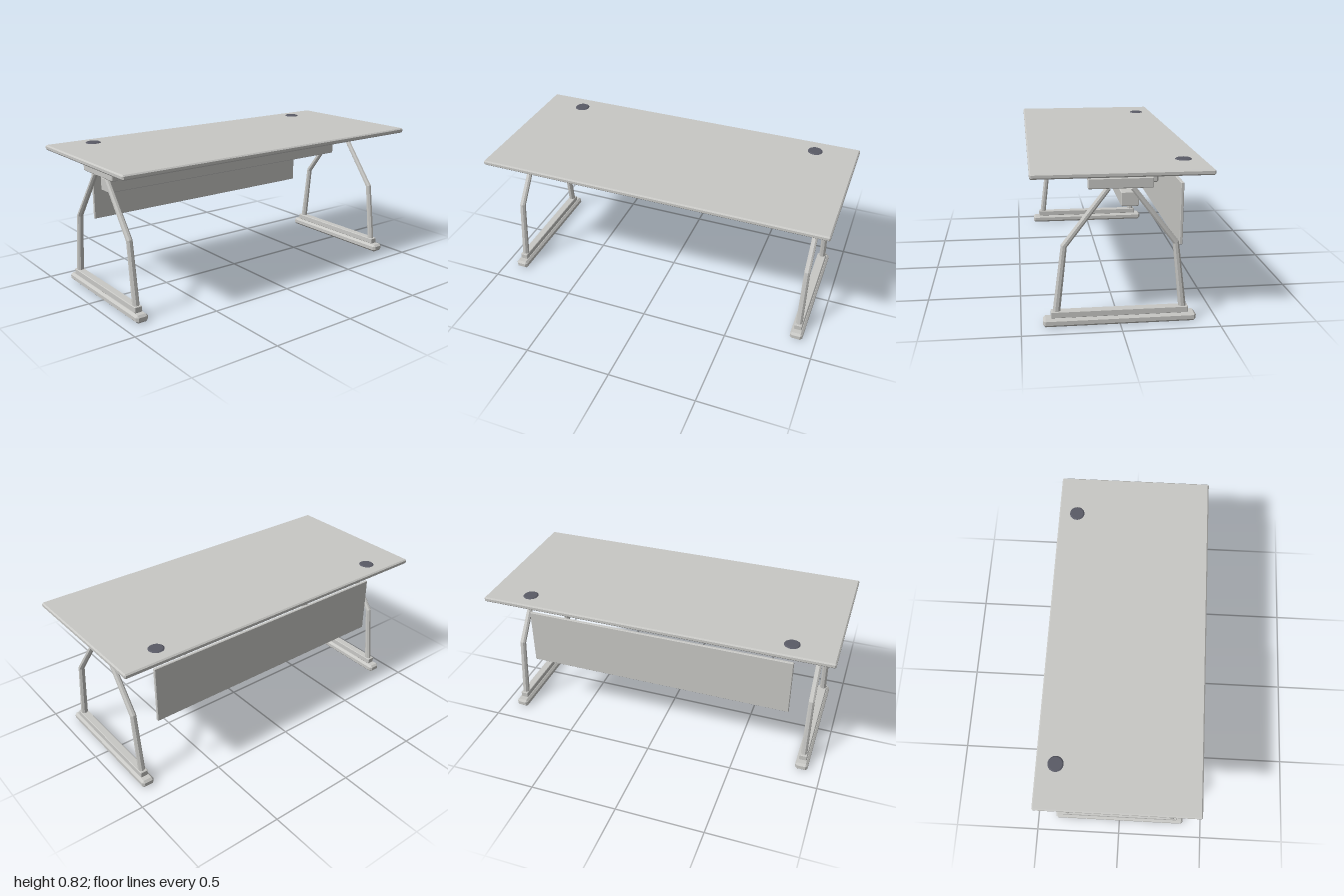
import * as THREE from 'three';
import { ConvexGeometry } from 'three/addons/geometries/ConvexGeometry.js';

// Box with all edges chamfered by c, given as min/max ranges
function chamferBox([x0, x1], [y0, y1], [z0, z1], c) {
  const h = [(x1 - x0) / 2, (y1 - y0) / 2, (z1 - z0) / 2];
  const pts = [];
  for (const sx of [-1, 1]) for (const sy of [-1, 1]) for (const sz of [-1, 1]) {
    for (let k = 0; k < 3; k++) {
      const inset = (axis) => h[axis] - (axis === k ? 0 : c);
      pts.push(new THREE.Vector3(sx * inset(0), sy * inset(1), sz * inset(2)));
    }
  }
  return new ConvexGeometry(pts).translate((x0 + x1) / 2, (y0 + y1) / 2, (z0 + z1) / 2);
}

// Eight-sided tapered bar along stations [y, z, width across x, width across the bend plane]
function bentBar(stations) {
  const sides = 8, pos = [];
  const rings = stations.map(([y, z, wx, wn], i) => {
    const a = stations[Math.max(i - 1, 0)], b = stations[Math.min(i + 1, stations.length - 1)];
    const len = Math.hypot(b[0] - a[0], b[1] - a[1]);
    const ny = (b[1] - a[1]) / len, nz = -(b[0] - a[0]) / len;
    return Array.from({ length: sides }, (_, j) => {
      const t = (j + 0.5) * 2 * Math.PI / sides, k = 0.5 / Math.cos(Math.PI / sides);
      const n = Math.sin(t) * wn * k;
      return [Math.cos(t) * wx * k, y + n * ny, z + n * nz];
    });
  });
  const tri = (a, b, c) => pos.push(...a, ...b, ...c);
  for (let i = 0; i < rings.length - 1; i++) {
    for (let j = 0; j < sides; j++) {
      const k = (j + 1) % sides, p = rings[i], q = rings[i + 1];
      tri(p[j], p[k], q[k]);
      tri(p[j], q[k], q[j]);
    }
  }
  const first = rings[0], last = rings[rings.length - 1];
  for (let j = 1; j < sides - 1; j++) {
    tri(last[0], last[j], last[j + 1]);
    tri(first[0], first[j + 1], first[j]);
  }
  const g = new THREE.BufferGeometry();
  g.setAttribute('position', new THREE.Float32BufferAttribute(pos, 3));
  g.computeVertexNormals();
  return g;
}

export function createModel() {
  const desk = new THREE.Group();
  desk.name = 'desk';
  const grey = new THREE.MeshStandardMaterial({ color: 0xc8c8c5 });
  grey.name = 'light grey';
  const dark = new THREE.MeshStandardMaterial({ color: 0x5a5b66 });
  dark.name = 'dark grey';

  const add = (parent, name, geometry, material = grey) => {
    const mesh = new THREE.Mesh(geometry, material);
    mesh.name = name;
    parent.add(mesh);
    return mesh;
  };

  // Worktop, rear panel, cross beam and cable tray
  add(desk, 'worktop', chamferBox([-1, 1], [0.785, 0.813], [-0.443, 0.443], 0.007));
  add(desk, 'modestyPanel', chamferBox([-0.775, 0.775], [0.363, 0.695], [-0.342, -0.325], 0.003));
  add(desk, 'crossBeam', chamferBox([-0.84, 0.84], [0.598, 0.672], [-0.1, -0.01], 0.004));
  add(desk, 'cableTray', chamferBox([-0.663, 0.663], [0.67, 0.75], [-0.23, -0.075], 0.008));
  add(desk, 'trayLip', chamferBox([-0.667, 0.667], [0.746, 0.75], [-0.235, -0.072], 0.001));

  for (const side of [-1, 1]) {
    // Cable grommet and tray bracket
    const grommet = add(desk, 'cableGrommet', new THREE.CylinderGeometry(0.036, 0.043, 0.005, 32), dark);
    grommet.position.set(side * 0.755, 0.8155, -0.337);
    const x = side * 0.563;
    add(desk, 'trayBracket', chamferBox([x - 0.014, x + 0.014], [0.748, 0.79], [-0.18, -0.13], 0.002));

    // End frame
    const frame = new THREE.Group();
    frame.name = side > 0 ? 'leftFrame' : 'rightFrame';
    frame.position.x = side * 0.888;
    desk.add(frame);
    add(frame, 'foot', chamferBox([-0.036, 0.036], [0, 0.045], [-0.39, 0.39], 0.012));
    add(frame, 'footRail', chamferBox([-0.022, 0.022], [0.044, 0.078], [-0.35, 0.35], 0.003));
    add(frame, 'topSupport', chamferBox([-0.02, 0.02], [0.708, 0.761], [-0.161, 0.161], 0.004));
    for (const turn of [0, Math.PI]) {
      const leg = add(frame, 'leg', bentBar([
        [0.07, 0.322, 0.036, 0.037],
        [0.42, 0.28, 0.032, 0.031],
        [0.708, 0.06, 0.028, 0.027],
      ]));
      leg.rotation.y = turn;
    }
  }
  return desk;
}
